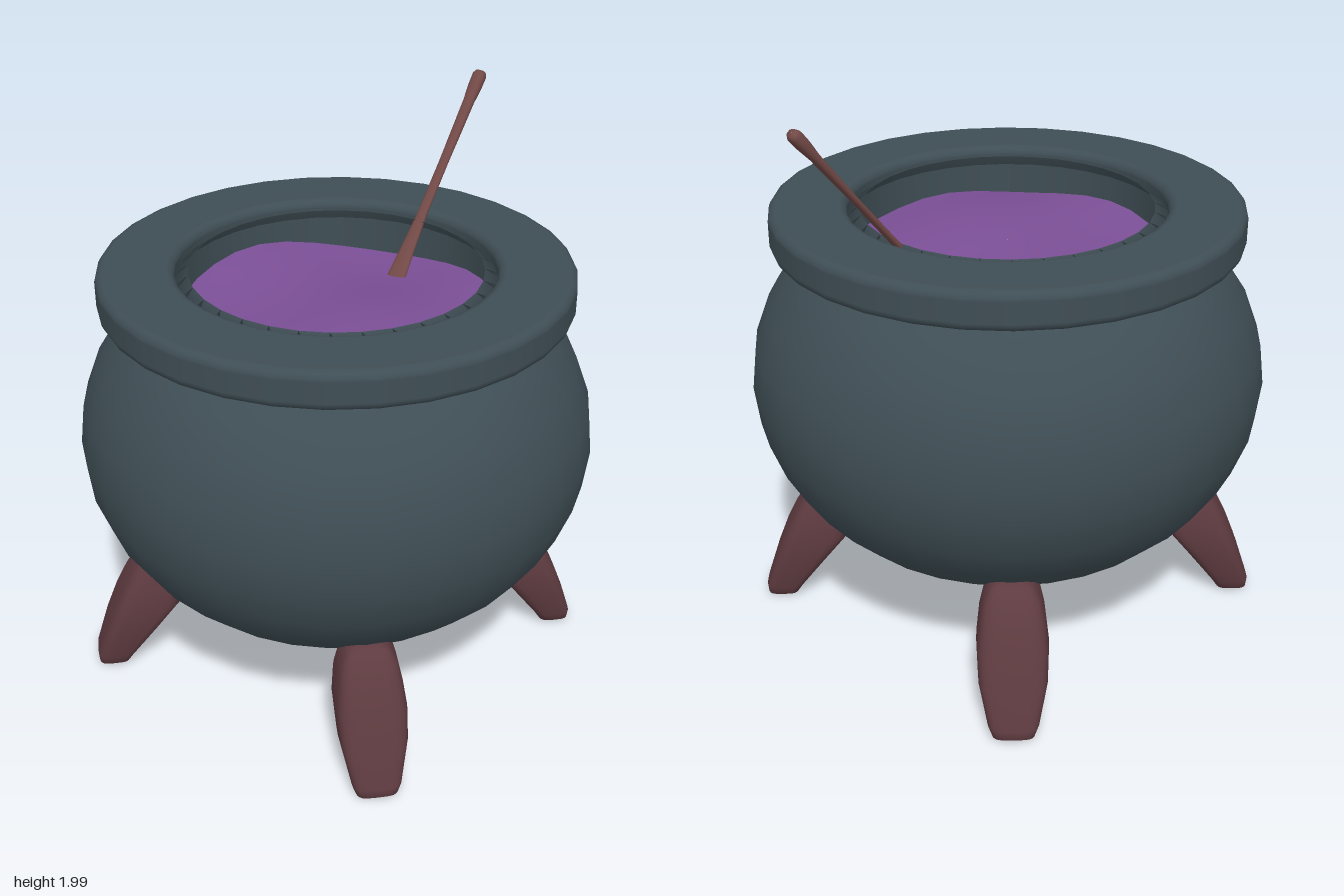
import * as THREE from 'three';
import { mergeVertices } from 'three/addons/utils/BufferGeometryUtils.js';

const iron = new THREE.MeshStandardMaterial({ color: 0x3f4e55 });
const wood = new THREE.MeshStandardMaterial({ color: 0x5e3b40 });
const stick = new THREE.MeshStandardMaterial({ color: 0x734a47 });
const brew = new THREE.MeshStandardMaterial({ color: 0x7b4f96, side: THREE.DoubleSide });

const SEGMENTS = 32;

function addMesh(parent, name, geometry, material) {
  const mesh = new THREE.Mesh(geometry, material);
  mesh.name = name;
  parent.add(mesh);
  return mesh;
}

function lathe(points) {
  return new THREE.LatheGeometry(points.map(([r, y]) => new THREE.Vector2(r, y)), SEGMENTS);
}

// Solid of rounded cross-sections; rows run upward: [y, centreX, halfX, halfZ]
function loft(rows, sides, power) {
  const geometry = new THREE.LatheGeometry(rows.map(([y]) => new THREE.Vector2(1, y)), sides);
  const position = geometry.attributes.position;
  const soft = (v) => Math.sign(v) * Math.abs(v) ** (2 / power);
  for (let i = 0; i < position.count; i++) {
    const [y, cx, hx, hz] = rows[i % rows.length];
    const angle = (Math.floor(i / rows.length) % sides) / sides * Math.PI * 2;
    position.setXYZ(i, cx + hx * soft(Math.sin(angle)), y, hz * soft(Math.cos(angle)));
  }
  geometry.deleteAttribute('normal');
  geometry.deleteAttribute('uv');
  const merged = mergeVertices(geometry);
  merged.computeVertexNormals();
  return merged;
}

export function createModel() {
  const model = new THREE.Group();
  model.name = 'cauldron';

  // Round belly, an oval up to the shoulder and then a pinched neck
  const belly = [];
  for (let i = 0; i <= 13; i++) {
    const a = (i / 16) * Math.PI;
    belly.push([0.89 * Math.sin(a), 0.94 - 0.72 * Math.cos(a)]);
  }
  belly.push([0.67, 1.365], [0.64, 1.385], [0.632, 1.41], [0.642, 1.43], [0.66, 1.44]);
  addMesh(model, 'belly', lathe(belly), iron);

  // Thick rim with softened edges
  addMesh(model, 'rim', lathe([
    [0.54, 1.34], [0.62, 1.43], [0.64, 1.43], [0.77, 1.43], [0.78, 1.431], [0.793, 1.438], [0.8, 1.452],
    [0.8, 1.46], [0.8, 1.53], [0.8, 1.538], [0.793, 1.552], [0.78, 1.559], [0.77, 1.56],
    [0.57, 1.56], [0.56, 1.559], [0.547, 1.552], [0.54, 1.538], [0.54, 1.53], [0.54, 1.34],
  ]), iron);

  // Rippled liquid surface
  const liquid = new THREE.RingGeometry(0.001, 0.545, SEGMENTS, 14);
  liquid.rotateX(-Math.PI / 2);
  const p = liquid.attributes.position;
  for (let i = 0; i < p.count; i++) {
    const x = p.getX(i), z = p.getZ(i);
    p.setY(i, 1.395 + 0.016 * Math.sin(7 * x + 2 * z) + 0.014 * Math.cos(8 * z - 3 * x));
  }
  liquid.computeVertexNormals();
  addMesh(model, 'liquid', liquid, brew);

  // Four splayed stubby legs on the diagonals
  const legGeometry = loft([
    [0.005, 0.85, 0.001, 0.001], [0.005, 0.85, 0.04, 0.055], [0.015, 0.845, 0.058, 0.072],
    [0.05, 0.835, 0.07, 0.085], [0.18, 0.765, 0.097, 0.115], [0.28, 0.705, 0.118, 0.12],
    [0.36, 0.672, 0.112, 0.11], [0.43, 0.66, 0.082, 0.095], [0.465, 0.655, 0.05, 0.07],
    [0.475, 0.65, 0.03, 0.045], [0.477, 0.65, 0.001, 0.001],
  ], 24, 4);
  for (let k = 0; k < 4; k++) {
    addMesh(model, 'leg', legGeometry, wood).rotation.y = Math.PI / 4 + k * Math.PI / 2;
  }

  // Stirring paddle leaning on the back of the rim
  const paddle = addMesh(model, 'stirringPaddle', loft([
    [0, 0, 0.001, 0.001], [0, 0, 0.04, 0.012], [0.06, 0, 0.037, 0.012], [0.16, 0, 0.028, 0.011],
    [0.3, 0, 0.019, 0.01], [0.5, 0, 0.018, 0.01], [0.74, 0, 0.021, 0.014],
    [0.8, 0, 0.025, 0.02], [0.845, 0, 0.025, 0.021], [0.858, 0, 0.019, 0.015],
    [0.86, 0, 0.001, 0.001],
  ], 12, 2.5), stick);
  paddle.position.set(0, 1.33, -0.33);
  paddle.rotation.x = -0.703;

  return model;
}
